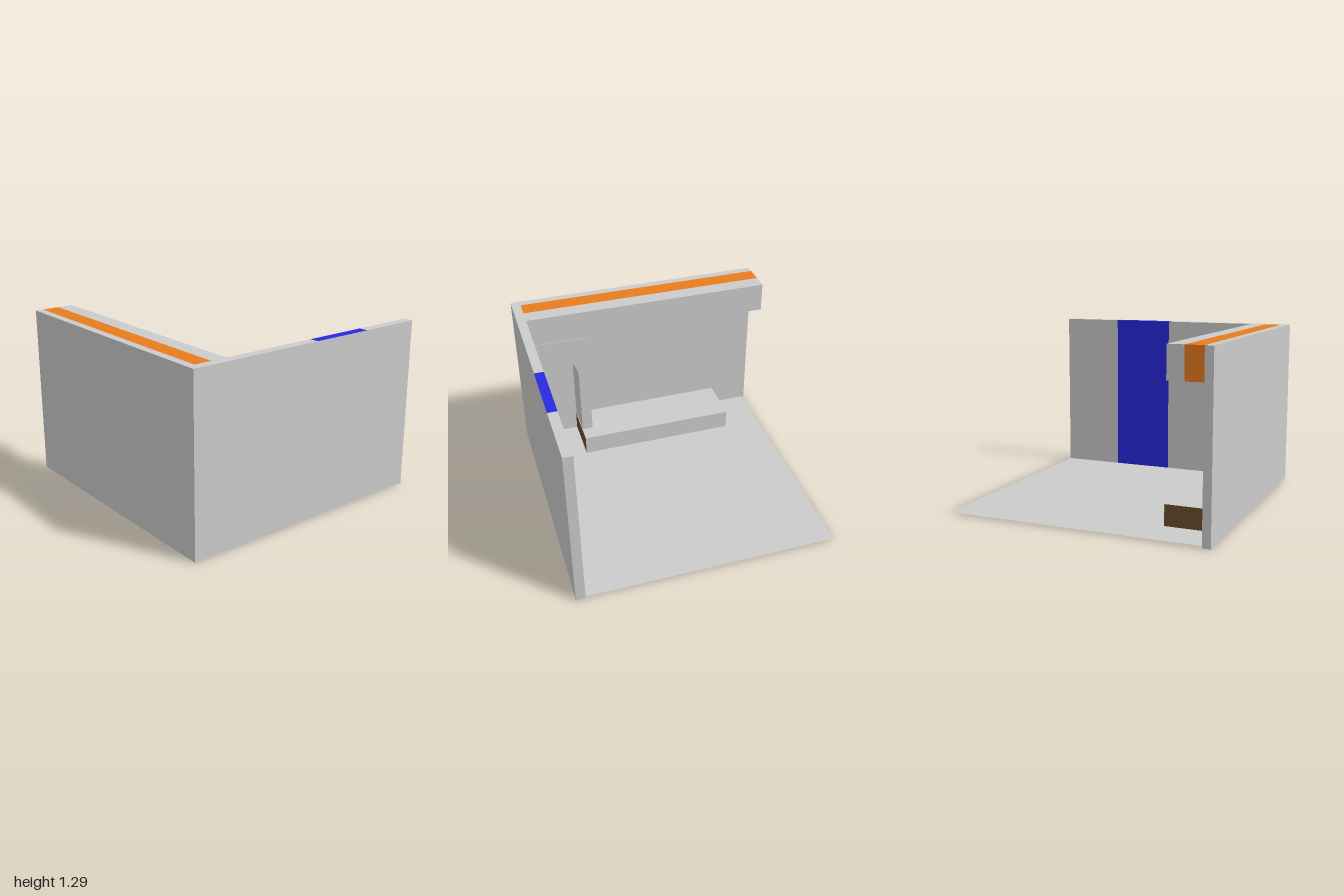
import * as THREE from 'three';

const mat = (color) => new THREE.MeshStandardMaterial({ color, side: THREE.DoubleSide });

export function createModel() {
  const model = new THREE.Group();
  const grey = mat(0xcccccc), blue = mat(0x2828e0), orange = mat(0xe87c1e);
  const white = mat(0xfafcfa), brown = mat(0x6b4e2a);

  // Box given by its extents on each axis
  function block(name, [x0, x1], [y0, y1], [z0, z1], material, parent = model) {
    const mesh = new THREE.Mesh(new THREE.BoxGeometry(x1 - x0, y1 - y0, z1 - z0), material);
    mesh.position.set((x0 + x1) / 2, (y0 + y1) / 2, (z0 + z1) / 2);
    mesh.name = name;
    parent.add(mesh);
    return mesh;
  }

  // Thin floor sheet
  const floor = new THREE.Mesh(new THREE.PlaneGeometry(1.97, 1.92), grey);
  floor.rotation.x = -Math.PI / 2;
  floor.position.set(0, 0.008, -0.02);
  floor.name = 'floor';
  model.add(floor);

  // Side wall, and front wall with a blue panel that shows only inside and on top
  const height = [0, 1.29], front = [0.93, 1];
  block('sideWall', [-1, -0.94], height, [-1, 0.93], grey);
  block('frontWallLeft', [0.51, 0.99], height, front, grey);
  block('frontWallRight', [-1, 0.03], height, front, grey);
  block('bluePanel', [0.03, 0.51], height, front, [blue, blue, blue, grey, grey, blue]);

  // Overhead beam: orange core beside the wall with a grey facing
  block('beamCore', [-0.94, -0.81], [1.06, 1.29], [-1, 0.93], orange);
  block('beamFacing', [-0.81, -0.69], [1.06, 1.29], [-1, 0.93], grey);

  // Arched doorway block in the corner under the beam (shape x runs along -z)
  const arch = new THREE.Shape();
  arch.moveTo(-0.93, 0.01);
  arch.lineTo(-0.91, 0.01);
  arch.lineTo(-0.91, 0.69);
  arch.absellipse(-0.735, 0.69, 0.175, 0.23, Math.PI, 0, true);
  arch.lineTo(-0.56, 0.01);
  arch.lineTo(-0.475, 0.01);
  arch.lineTo(-0.475, 1.057);
  arch.lineTo(-0.93, 1.057);
  arch.closePath();
  const doorway = new THREE.Mesh(
    new THREE.ExtrudeGeometry(arch, { depth: 0.25, bevelEnabled: false, curveSegments: 24 }), grey);
  doorway.rotation.y = Math.PI / 2;
  doorway.position.x = -0.94;
  doorway.name = 'archedDoorway';
  model.add(doorway);

  // Low counter with a pale top and a chequered front
  const counter = new THREE.Group();
  counter.name = 'counter';
  model.add(counter);
  block('counterBody', [-0.94, -0.562], [0.01, 0.165], [-0.685, 0.565],
    [brown, brown, white, brown, brown, brown], counter);
  const rows = [0.01, 0.098, 0.165];
  const columns = [0.565];
  for (let i = 0; i <= 8; i++) columns.push(0.455 - i * 0.1425);
  for (let r = 0; r < 2; r++) {
    for (let c = 0; c < 9; c++) {
      block('counterTile', [-0.562, -0.56], [rows[r], rows[r + 1]], [columns[c + 1], columns[c]],
        (r + c) % 2 ? grey : white, counter);
    }
  }
  return model;
}
